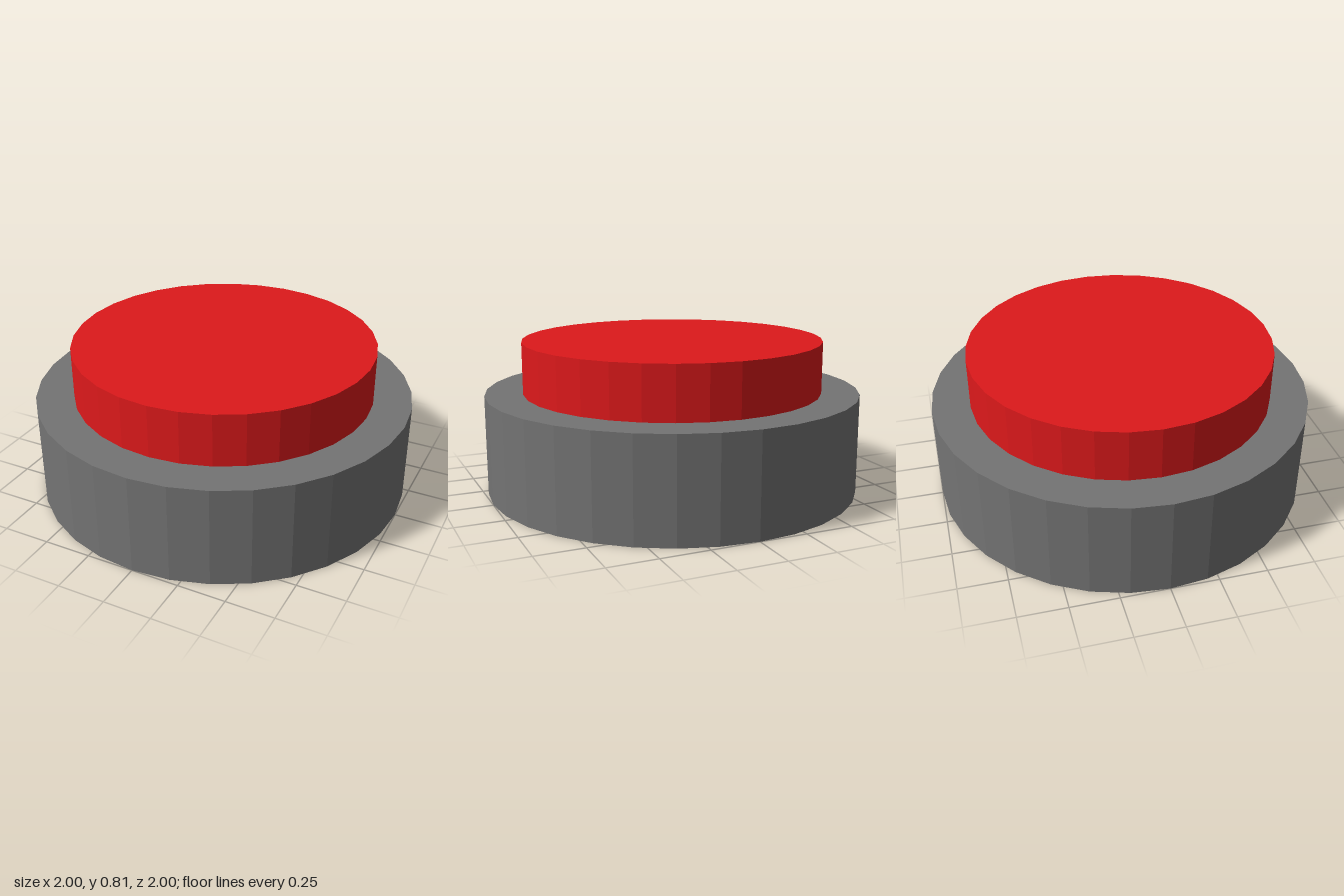
import * as THREE from 'three';

const SIDES = 32;

// Upright faceted disc between two heights
function disc(name, radius, bottom, top, color) {
  const geometry = new THREE.CylinderGeometry(radius, radius, top - bottom, SIDES);
  const material = new THREE.MeshStandardMaterial({ color, flatShading: true });
  const mesh = new THREE.Mesh(geometry, material);
  mesh.name = name;
  mesh.position.y = (bottom + top) / 2;
  return mesh;
}

export function createModel() {
  const model = new THREE.Group();
  model.name = 'pushButton';
  model.add(
    disc('base', 1, 0, 0.53, 0x747474), // wide grey housing
    disc('buttonCap', 0.8, 0.53, 0.805, 0xdd191b) // raised red cap
  );
  return model;
}
